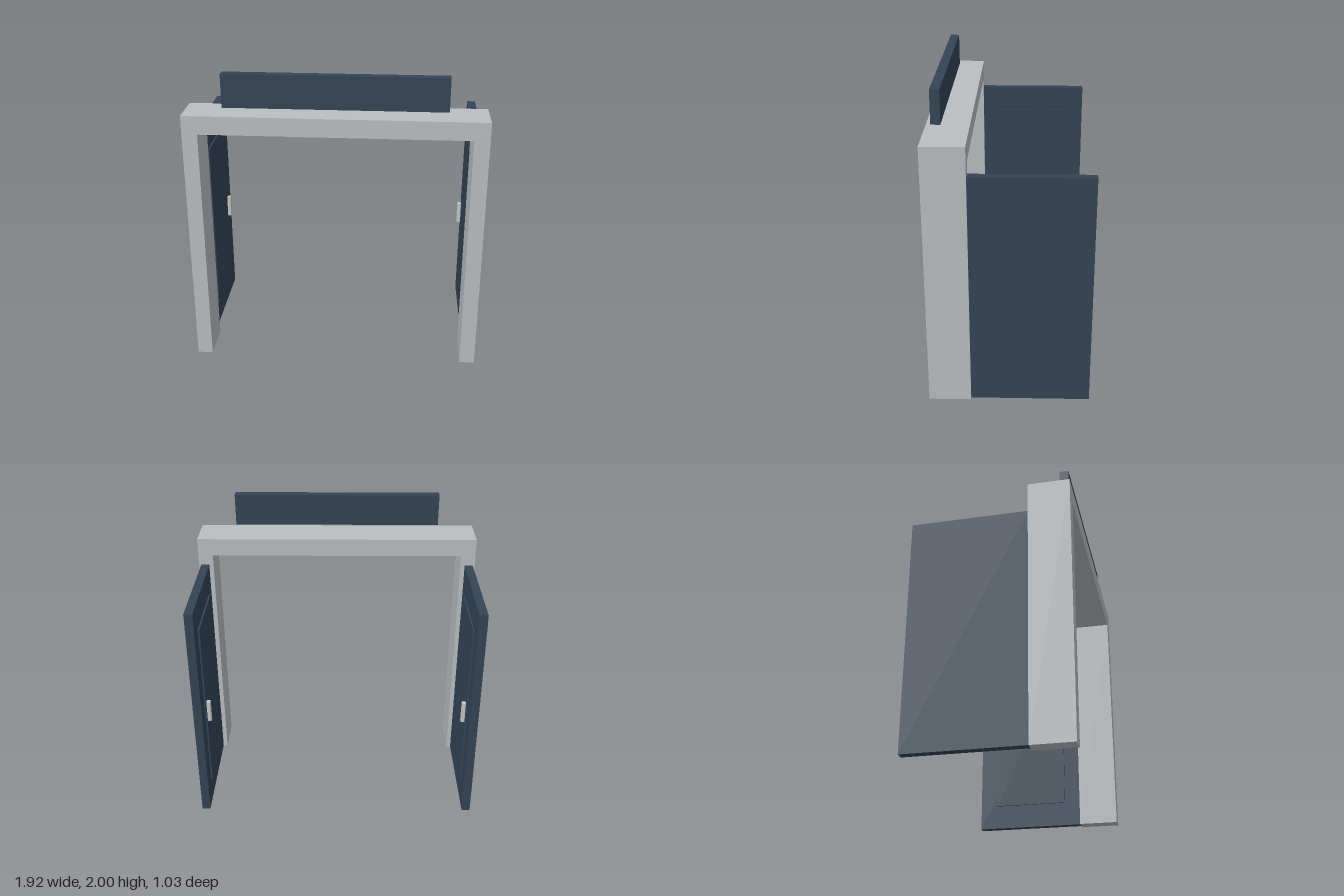
import * as THREE from 'three';
import { RoundedBoxGeometry } from 'three/addons/geometries/RoundedBoxGeometry.js';

export function createModel() {
  const model = new THREE.Group();
  model.name = 'doorway';
  const material = (name, color) => {
    const m = new THREE.MeshStandardMaterial({ color });
    m.name = name;
    return m;
  };
  const stone = material('pale grey', 0xbbbfc1);
  const navy = material('dark slate blue', 0x344556);
  const metal = material('light metal', 0xc6c6c3);

  const add = (parent, name, geometry, mat, x, y, z) => {
    const mesh = new THREE.Mesh(geometry, mat);
    mesh.name = name;
    mesh.position.set(x, y, z);
    parent.add(mesh);
  };

  // Portal frame: one outline with two legs and a lintel
  const outline = new THREE.Shape([
    [-0.96, 0], [-0.86, 0], [-0.86, 1.62], [0.86, 1.62],
    [0.86, 0], [0.96, 0], [0.96, 1.74], [-0.96, 1.74],
  ].map(([x, y]) => new THREE.Vector2(x, y)));
  const frame = new THREE.ExtrudeGeometry(outline, { depth: 0.27, bevelEnabled: false });
  add(model, 'doorFrame', frame, stone, 0, 0, 0.245);

  // Sign board floating just above the lintel
  add(model, 'signBoard', new THREE.BoxGeometry(1.41, 0.215, 0.06), navy, 0, 1.8925, 0.44);

  // Two open doors, each with a raised panel and a handle facing inward
  for (const side of [-1, 1]) {
    const door = new THREE.Group();
    door.name = side > 0 ? 'leftDoor' : 'rightDoor';
    add(door, 'doorLeaf', new THREE.BoxGeometry(0.056, 1.545, 0.762), navy, side * 0.918, 0.7775, -0.136);
    add(door, 'doorPanel', new THREE.BoxGeometry(0.012, 1.2, 0.52), navy, side * 0.885, 0.775, -0.13);
    add(door, 'doorHandle', new RoundedBoxGeometry(0.028, 0.156, 0.03, 1, 0.005), metal, side * 0.866, 0.733, -0.36);
    model.add(door);
  }
  return model;
}
